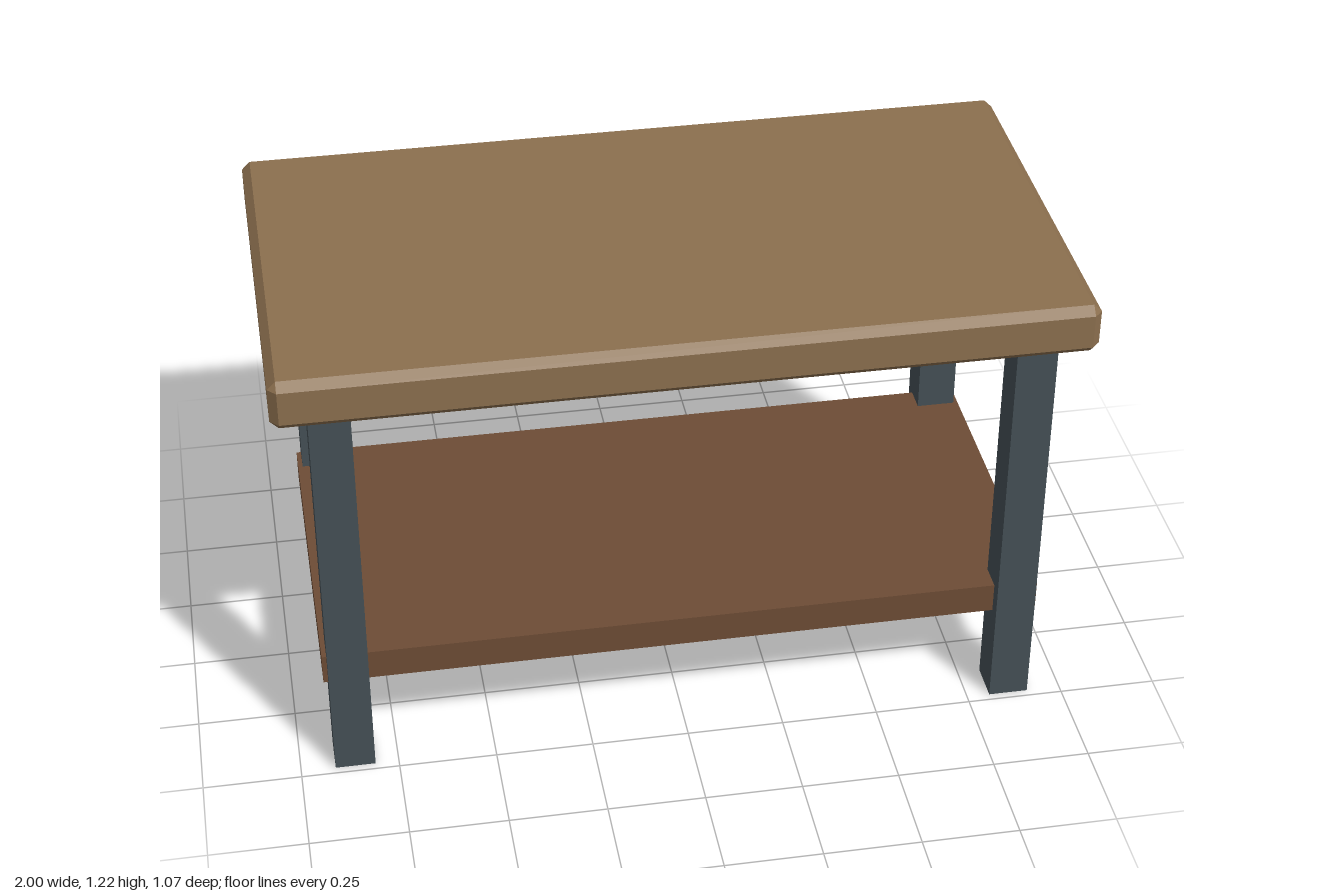
import * as THREE from 'three';
import { ConvexGeometry } from 'three/addons/geometries/ConvexGeometry.js';

const material = (color) => new THREE.MeshStandardMaterial({ color, flatShading: true });

// Box with every edge cut by a flat chamfer c
function chamferedBox(w, h, d, c) {
  const points = [];
  for (const x of [-w / 2, w / 2])
    for (const y of [-h / 2, h / 2])
      for (const z of [-d / 2, d / 2]) {
        const corner = new THREE.Vector3(x, y, z);
        const inset = new THREE.Vector3(Math.sign(x), Math.sign(y), Math.sign(z)).multiplyScalar(c);
        for (const axis of ['x', 'y', 'z']) {
          const p = corner.clone().sub(inset);
          p[axis] = corner[axis];
          points.push(p);
        }
      }
  return new ConvexGeometry(points);
}

export function createModel() {
  const group = new THREE.Group();
  group.name = 'table';

  const add = (name, geometry, mat, x, y, z) => {
    const mesh = new THREE.Mesh(geometry, mat);
    mesh.name = name;
    mesh.position.set(x, y, z);
    group.add(mesh);
  };

  const underside = 1.092, topHeight = 0.131;

  // Chamfered table top
  add('tableTop', chamferedBox(2, topHeight, 1.068, 0.021), material(0x8b6f4e),
    0, underside + topHeight / 2, 0);

  // Lower shelf running between and slightly past the legs
  add('shelf', new THREE.BoxGeometry(1.848, 0.081, 0.893), material(0x6d4c35), 0, 0.2985, 0);

  // Four square legs
  const legGeometry = new THREE.BoxGeometry(0.102, underside, 0.102);
  const legMaterial = material(0x455056);
  for (const [xName, x] of [['Left', 0.861], ['Right', -0.861]])
    for (const [zName, z] of [['front', 0.429], ['back', -0.429]])
      add(`${zName}${xName}Leg`, legGeometry, legMaterial, x, underside / 2, z);

  return group;
}
